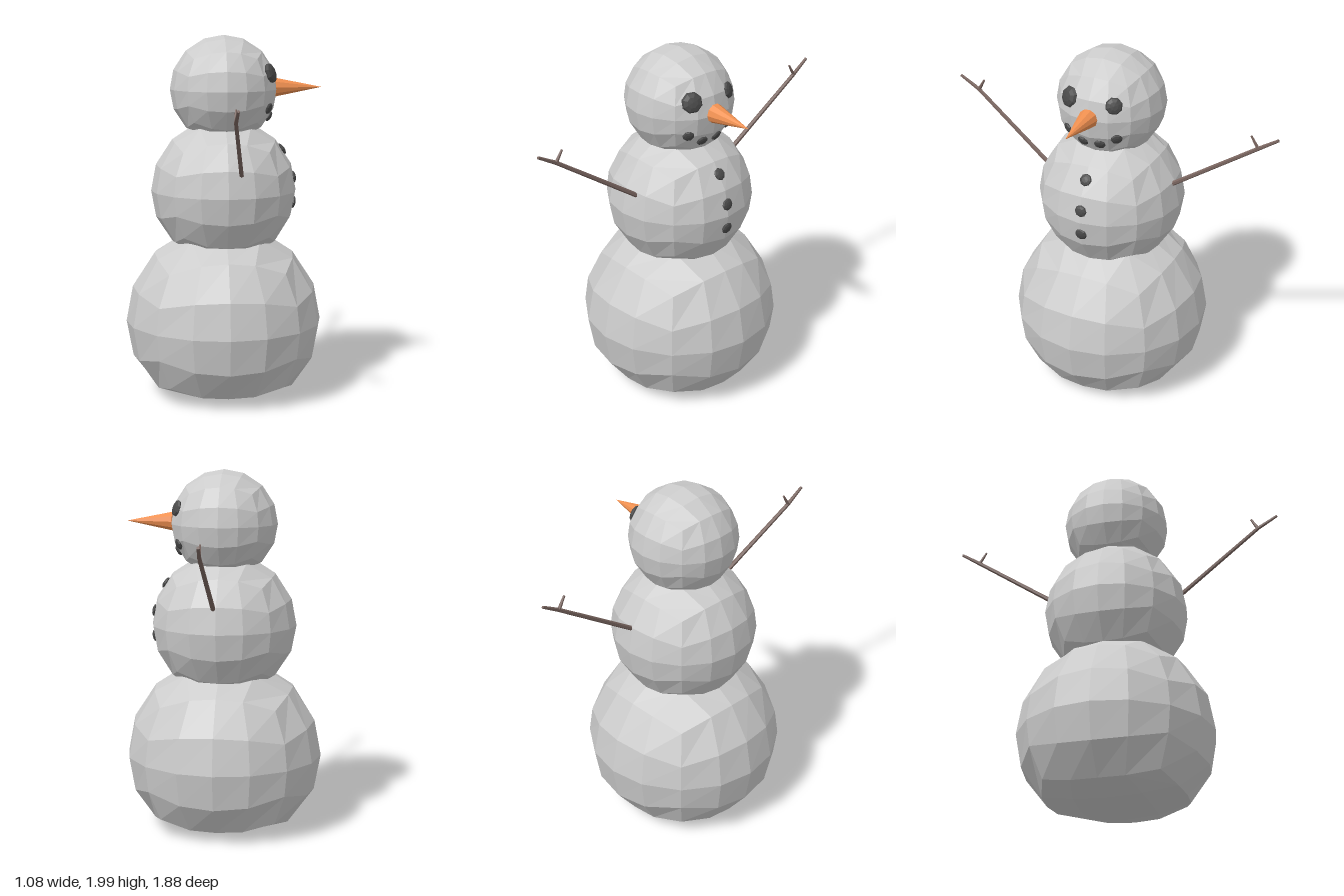
import * as THREE from 'three';

const mat = (color) => new THREE.MeshStandardMaterial({ color, flatShading: true });
const snow = mat(0xcccccc), coal = mat(0x4a4a4a), carrot = mat(0xf09050), wood = mat(0x7a6660);
const UP = new THREE.Vector3(0, 1, 0);

function add(parent, name, geometry, material) {
  const mesh = new THREE.Mesh(geometry, material);
  mesh.name = name;
  parent.add(mesh);
  return mesh;
}

// Quad ball: a 4x4x4 box pushed out to a sphere, optionally squashed underneath
function snowball(radius, flatBottom) {
  const g = new THREE.BoxGeometry(2, 2, 2, 4, 4, 4);
  const p = g.attributes.position, v = new THREE.Vector3();
  const warp = (t) => (Math.abs(Math.abs(t) - 0.5) < 0.01 ? Math.sign(t) * 0.39 : t);
  for (let i = 0; i < p.count; i++) {
    v.set(warp(p.getX(i)), warp(p.getY(i)), warp(p.getZ(i))).setLength(radius);
    if (flatBottom && v.y < -0.34) v.y = -0.34 + (v.y + 0.34) * 0.35;
    p.setXYZ(i, v.x, v.y, v.z);
  }
  g.computeVertexNormals();
  return g;
}

// Tapered stick between two points
function stick(parent, name, a, b, r0, r1) {
  const dir = b.clone().sub(a);
  const mesh = add(parent, name, new THREE.CylinderGeometry(r1, r0, dir.length(), 6), wood);
  mesh.position.copy(a).add(b).multiplyScalar(0.5);
  mesh.quaternion.setFromUnitVectors(UP, dir.normalize());
}

// Flattened lump of coal lying on a ball's surface
function lump(parent, name, ball, y, z, r) {
  const [cy, radius] = ball;
  const dy = y - cy, dz = z - 0.01;
  const normal = new THREE.Vector3(Math.sqrt(radius * radius - dy * dy - dz * dz), dy, dz);
  const mesh = add(parent, name, new THREE.SphereGeometry(r, 8, 6), coal);
  mesh.scale.y = 0.4;
  mesh.position.copy(normal).multiplyScalar(0.985).add(new THREE.Vector3(-0.003, cy, 0.01));
  mesh.quaternion.setFromUnitVectors(UP, normal.normalize());
}

// Arm through shoulder, fork and tip, with a short twig at the fork
function arm(parent, name, shoulder, fork, tip, twigTip) {
  const g = new THREE.Group();
  g.name = name;
  const [a, b, c, d] = [shoulder, fork, tip, twigTip].map((q) => new THREE.Vector3(...q));
  stick(g, 'branch', a, b, 0.013, 0.011);
  stick(g, 'branchTip', b, c, 0.011, 0.008);
  stick(g, 'twig', b, d, 0.01, 0.006);
  parent.add(g);
}

export function createModel() {
  const model = new THREE.Group();
  model.name = 'snowman';

  // Three stacked balls: [centre height, radius]
  const base = [0.42, 0.542], torso = [1.15, 0.4], head = [1.706, 0.294];
  [['base', base], ['torso', torso], ['head', head]].forEach(([name, [y, r]]) => {
    add(model, name, snowball(r, name === 'base'), snow).position.set(-0.003, y, 0.008);
  });

  // Face, looking along +x
  lump(model, 'eye', head, 1.8, 0.135, 0.057);
  lump(model, 'eye', head, 1.797, -0.122, 0.046);
  [[1.607, 0.15], [1.556, 0.06], [1.556, -0.04], [1.601, -0.132]]
    .forEach(([y, z]) => lump(model, 'mouthCoal', head, y, z, 0.032));
  const nose = add(model, 'nose', new THREE.ConeGeometry(0.053, 0.255, 10), carrot);
  nose.rotation.z = -Math.PI / 2;
  nose.position.set(0.408, 1.715, 0.008);

  // Buttons
  [1.378, 1.22, 1.075].forEach((y) => lump(model, 'button', torso, y, 0.005, 0.034));

  // Stick arms
  arm(model, 'leftArm', [0.067, 1.272, 0.365], [0, 1.592, 0.825], [0.003, 1.658, 0.935], [0.003, 1.655, 0.788]);
  arm(model, 'rightArm', [0.012, 1.283, -0.355], [0.018, 1.607, -0.83], [0.01, 1.673, -0.935], [0.02, 1.673, -0.79]);
  return model;
}
